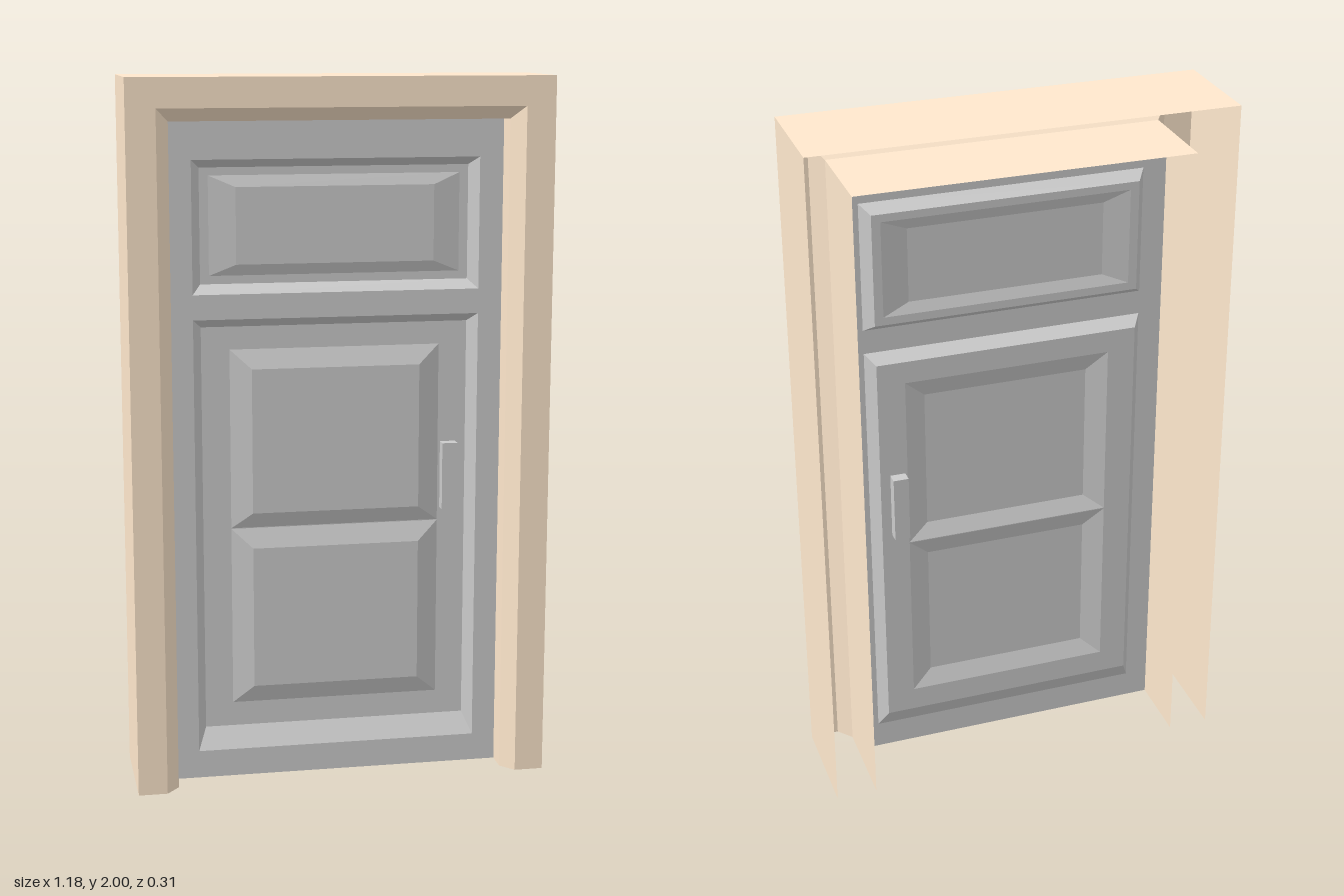
import * as THREE from 'three';
import { mergeGeometries } from 'three/addons/utils/BufferGeometryUtils.js';

const wood = new THREE.MeshStandardMaterial({ color: 0xffe8cd, side: THREE.DoubleSide, flatShading: true });
const grey = new THREE.MeshStandardMaterial({ color: 0xcccccc, side: THREE.DoubleSide, flatShading: true });

const rect = (halfWidth, y0, y1) => [
  [-halfWidth, y0], [halfWidth, y0], [halfWidth, y1], [-halfWidth, y1],
];

// Flat plate facing +z, with rectangular holes
function plate(outer, holes, z) {
  const points = (r) => r.map(([x, y]) => new THREE.Vector2(x, y));
  const shape = new THREE.Shape(points(outer));
  holes.forEach((h) => shape.holes.push(new THREE.Path(points(h))));
  const geometry = new THREE.ShapeGeometry(shape).toNonIndexed();
  geometry.deleteAttribute('uv');
  return geometry.translate(0, 0, z);
}

// Quads joining consecutive 3D sections that have equal point counts
function loft(sections, closed) {
  const position = [];
  for (let s = 0; s < sections.length - 1; s++) {
    const [a, b] = [sections[s], sections[s + 1]];
    const n = a.length;
    for (let i = 0; i < (closed ? n : n - 1); i++) {
      const j = (i + 1) % n;
      position.push(...a[i], ...a[j], ...b[j], ...a[i], ...b[j], ...b[i]);
    }
  }
  const geometry = new THREE.BufferGeometry();
  geometry.setAttribute('position', new THREE.Float32BufferAttribute(position, 3));
  geometry.computeVertexNormals();
  return geometry;
}

// Sloping border from an outer rectangle to an inner one
const bevel = (outer, z0, inner, z1) =>
  loft([outer.map((p) => [...p, z0]), inner.map((p) => [...p, z1])], true);

function addMesh(group, name, geometry, material) {
  const mesh = new THREE.Mesh(geometry, material);
  mesh.name = name;
  group.add(mesh);
  return mesh;
}

export function createModel() {
  const group = new THREE.Group();
  group.name = 'door';

  // Hollow frame: one profile (inset, z) carried around the opening
  const W = 0.59, H = 2, D = 0.157;
  const profile = [[0, -D], [0, D], [0.082, D], [0.118, 0.115], [0.118, -D]];
  const frame = profile.map(([inset, z]) => {
    const x = W - inset, y = H - inset;
    return [[x, 0, z], [x, y, z], [-x, y, z], [-x, 0, z]];
  });
  addMesh(group, 'frame', loft(frame, false), wood);

  // Thin pressed leaf with two recessed panels
  const face = 0.05, floor = 0.014;
  const panels = [
    {
      name: 'upperPanel',
      edge: rect(0.405, 1.405, 1.775), floor: rect(0.38, 1.43, 1.752), rise: 0.012,
      fields: [[rect(0.355, 1.453, 1.73), rect(0.28, 1.484, 1.698)]],
    },
    {
      name: 'lowerPanel',
      edge: rect(0.405, 0.08, 1.335), floor: rect(0.38, 0.14, 1.31), rise: 0.02,
      fields: [
        [rect(0.3, 0.73, 1.245), rect(0.24, 0.775, 1.19)],
        [rect(0.3, 0.21, 0.728), rect(0.24, 0.262, 0.672)],
      ],
    },
  ];
  addMesh(group, 'leaf', plate(rect(0.472, 0, 1.882), panels.map((p) => p.edge), face), grey);

  // Each panel: recess border, floor and raised fields
  for (const p of panels) {
    const parts = [
      bevel(p.edge, face, p.floor, floor),
      plate(p.floor, p.fields.map((f) => f[0]), floor),
    ];
    for (const [outer, inner] of p.fields) {
      parts.push(bevel(outer, floor, inner, floor + p.rise), plate(inner, [], floor + p.rise));
    }
    addMesh(group, p.name, mergeGeometries(parts), grey);
  }

  // Pull handle standing out on both sides of the leaf
  const handle = addMesh(group, 'handle', new THREE.BoxGeometry(0.044, 0.195, 0.065), grey);
  handle.position.set(0.329, 0.863, 0.013);

  return group;
}
